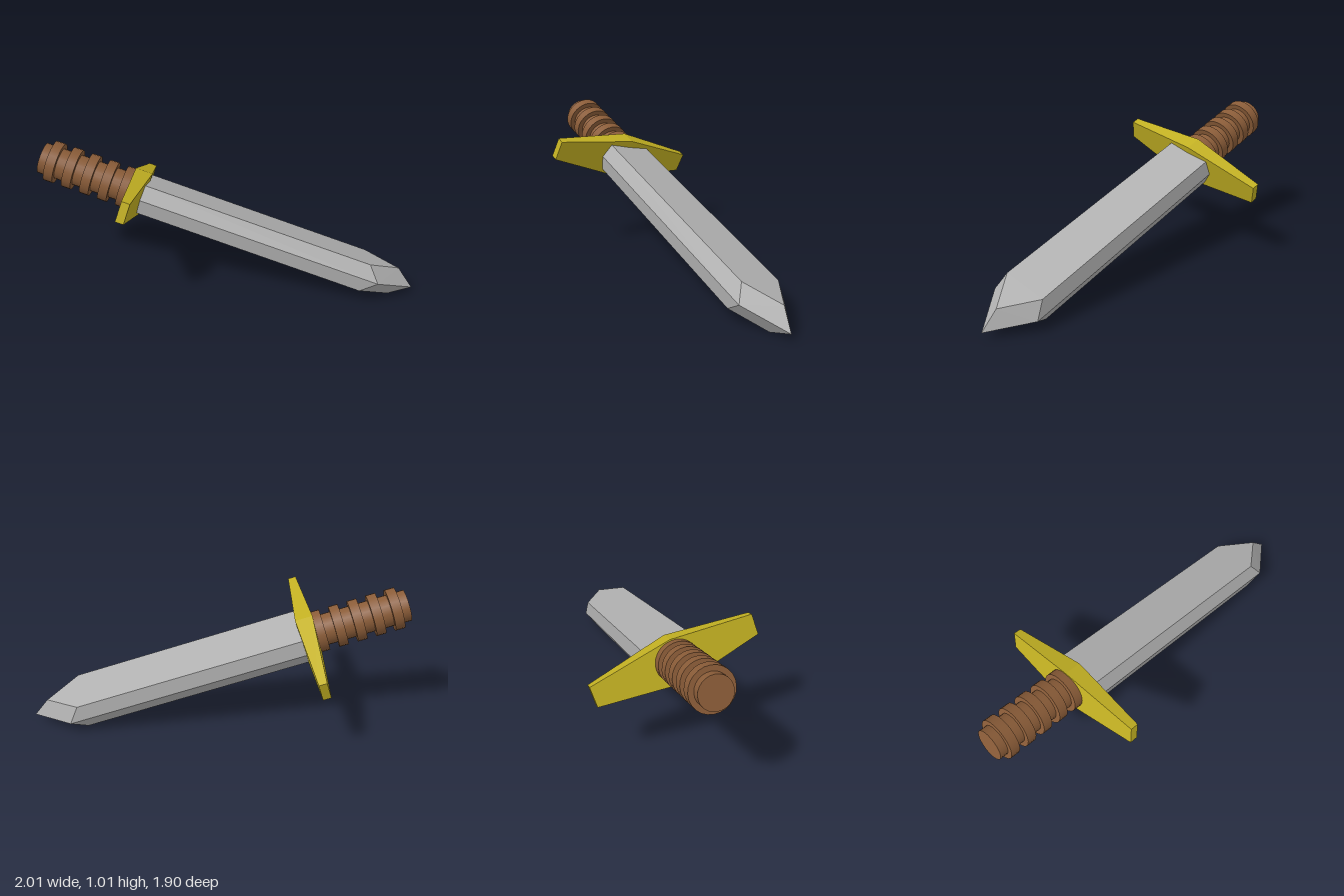
import * as THREE from 'three';
import { ConvexGeometry } from 'three/addons/geometries/ConvexGeometry.js';

const steel = new THREE.MeshStandardMaterial({ color: 0xb0b0b0 });
steel.name = 'steel grey';
const gold = new THREE.MeshStandardMaterial({ color: 0xc2b022 });
gold.name = 'gold';
const leather = new THREE.MeshStandardMaterial({ color: 0x8a5c38 });
leather.name = 'leather brown';

// Adds a named mesh to a group
function add(group, name, geometry, material) {
  const mesh = new THREE.Mesh(geometry, material);
  mesh.name = name;
  group.add(mesh);
  return mesh;
}

// Faceted solid from corner points, each mirrored in x and y
function mirroredHull(corners) {
  const points = new Map();
  for (const [x, y, z] of corners)
    for (const sx of [1, -1])
      for (const sy of [1, -1]) {
        const p = new THREE.Vector3(x && sx * x, y && sy * y, z);
        points.set(p.toArray().join(), p);
      }
  return new ConvexGeometry([...points.values()]);
}

// Cylinder along z between two positions
function rod(radius, from, to) {
  return new THREE.CylinderGeometry(radius, radius, to - from, 24)
    .rotateX(Math.PI / 2)
    .translate(0, 0, (from + to) / 2);
}

export function createModel() {
  const model = new THREE.Group();
  model.name = 'model';

  // Built along z (point at +z), guard across x, then tilted into its resting pose
  const sword = new THREE.Group();
  sword.name = 'sword';
  model.add(sword);

  // Blade: six-sided bar with a bevelled point
  add(sword, 'blade', mirroredHull([
    [0.163, 0.103, -0.76], [0.2, 0, -0.76],
    [0.163, 0.103, 0.925], [0.2, 0, 1.017],
    [0, 0.103, 1.16], [0, 0, 1.3],
  ]), steel);

  // Guard: thick in the middle, tapering to both ends
  add(sword, 'guard', mirroredHull([
    [0, 0.155, -0.707], [0, 0.155, -0.83],
    [0.57, 0.072, -0.74], [0.57, 0.072, -0.797],
  ]), gold);

  // Grip with five raised rings
  const handle = new THREE.Group();
  handle.name = 'handle';
  sword.add(handle);
  add(handle, 'grip', rod(0.11, -1.475, -0.8), leather);
  for (let i = 0; i < 5; i++) {
    const start = -1.417 + i * 0.133;
    add(handle, 'gripRing', rod(0.146, start, start + 0.066), leather);
  }

  // Resting pose
  const along = new THREE.Vector3(0.694, -0.301, 0.654).normalize();
  const up = new THREE.Vector3().crossVectors(along, new THREE.Vector3(0.614, -0.246, -0.752)).normalize();
  const across = new THREE.Vector3().crossVectors(up, along);
  sword.quaternion.setFromRotationMatrix(new THREE.Matrix4().makeBasis(across, up, along));
  sword.position.set(0.102, 0.443, 0.094);
  return model;
}
